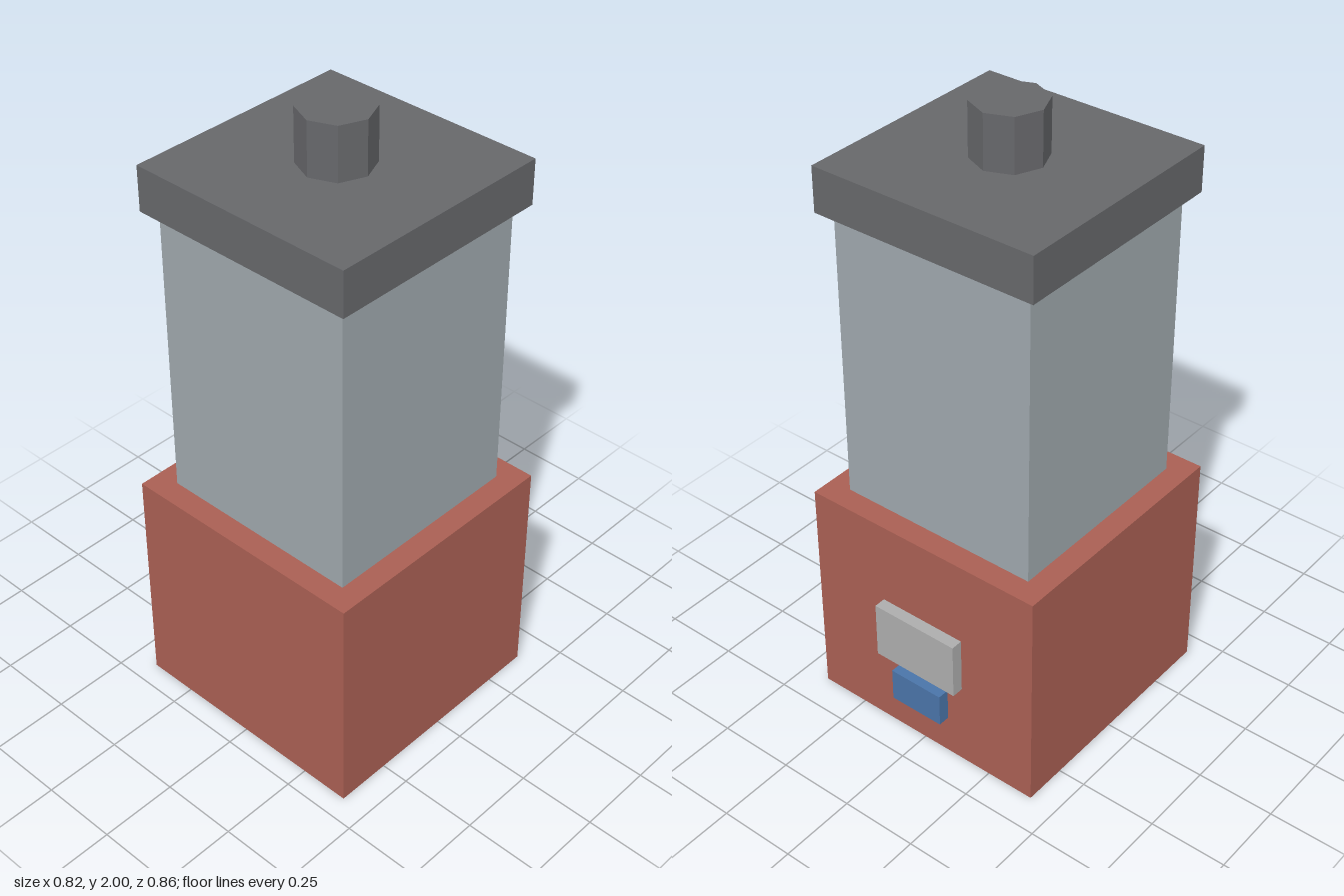
import * as THREE from 'three';

const CZ = 0.018; // the tower axis sits slightly forward of the origin

function material(color) {
  return new THREE.MeshStandardMaterial({ color, flatShading: true });
}

export function createModel() {
  const model = new THREE.Group();
  const red = material(0xa95f53);
  const paleGrey = material(0x9ea7ac);
  const darkGrey = material(0x66676a);
  const lightGrey = material(0xacacac);
  const blue = material(0x4a74a8);

  function add(name, geometry, mat, y, z) {
    const mesh = new THREE.Mesh(geometry, mat);
    mesh.name = name;
    mesh.position.set(0, y, z);
    model.add(mesh);
  }

  // Box standing between two heights
  function box(name, width, depth, y0, y1, z, mat) {
    add(name, new THREE.BoxGeometry(width, y1 - y0, depth), mat, (y0 + y1) / 2, z);
  }

  // Stacked square sections
  box('base', 0.82, 0.82, 0, 0.75, CZ, red);
  box('column', 0.672, 0.672, 0.75, 1.69, CZ, paleGrey);
  box('lid', 0.745, 0.745, 1.69, 1.832, CZ, darkGrey);

  // Eight-sided knob on the lid
  add('knob', new THREE.CylinderGeometry(0.112, 0.112, 0.168, 8), darkGrey, 1.916, CZ);

  // Plates on the back of the base
  box('backPanel', 0.298, 0.038, 0.285, 0.473, -0.411, lightGrey);
  box('backLabel', 0.186, 0.038, 0.135, 0.246, -0.411, blue);

  return model;
}
